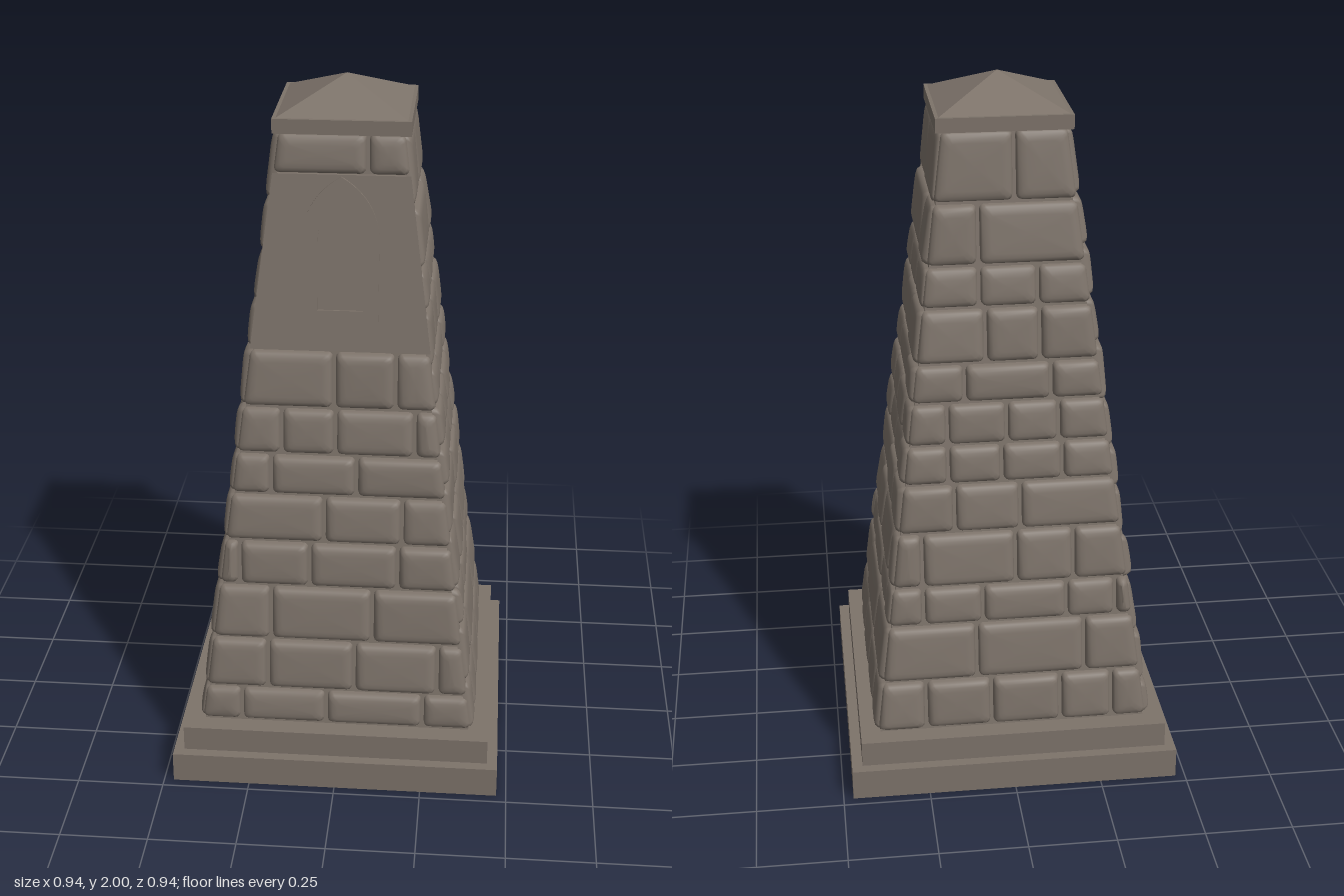
import * as THREE from 'three';
import { mergeGeometries } from 'three/addons/utils/BufferGeometryUtils.js';

const stoneGrey = new THREE.MeshStandardMaterial({ color: 0x7d736a });
stoneGrey.name = 'stone grey';

const BOTTOM = 0.165, TOP = 1.89;
// half width of the tapered shaft at height y
const half = (y) => 0.385 - 0.13 * (y - BOTTOM);

let seed = 7;
const rand = () => (seed = (seed * 16807) % 2147483647) / 2147483647;

function add(parent, name, geometry, y = 0) {
  const mesh = new THREE.Mesh(geometry, stoneGrey);
  mesh.name = name;
  mesh.position.y = y;
  parent.add(mesh);
  return mesh;
}

// square frustum with sharp edges, standing on y = 0
function frustum(bottom, top, height) {
  const g = new THREE.CylinderGeometry(top * Math.SQRT2, bottom * Math.SQRT2, height, 4, 1)
    .rotateY(Math.PI / 4).translate(0, height / 2, 0).toNonIndexed();
  g.computeVertexNormals();
  return g;
}

// one pillow-shaped stone on the +z face, built from shrinking rounded outlines
const PROFILE = [[0.004, -0.004], [0.006, 0.009], [0.011, 0.016], [0.021, 0.02], [0.034, 0.022]];
function stone(u0, u1, v0, v1, leftCorner, rightCorner) {
  const pos = [], index = [], n = 16;
  const lift = (rand() - 0.5) * 0.006, tilt = (rand() - 0.5) * 0.08;
  const place = (u, v, d) => {
    // stones at the tower's corners follow the taper
    const t = (u - u0) / (u1 - u0);
    const l = leftCorner ? -half(v) - 0.012 : u0;
    const r = rightCorner ? half(v) + 0.012 : u1;
    const z = d > 0.012 ? d + lift + tilt * (v - (v0 + v1) / 2) : d;
    pos.push(l + (r - l) * t, v, half(v) + z);
  };
  const hu = (u1 - u0) / 2, hv = (v1 - v0) / 2, cu = u0 + hu, cv = v0 + hv;
  for (const [inset, d] of PROFILE) {
    const a = Math.max(hu - inset, 0.004), b = Math.max(hv - inset, 0.004);
    const r = Math.min(0.014, a, b);
    for (let k = 0; k < n; k++) {
      const q = Math.floor(k / 4), ang = (q + (k % 4) / 3) * Math.PI / 2;
      const su = q === 0 || q === 3 ? 1 : -1, sv = q < 2 ? 1 : -1;
      place(cu + su * (a - r) + r * Math.cos(ang), cv + sv * (b - r) + r * Math.sin(ang), d);
    }
  }
  place(cu, cv, 0.023);
  const rings = PROFILE.length, centre = rings * n;
  for (let i = 0; i < rings; i++) {
    for (let k = 0; k < n; k++) {
      const a = i * n + k, b = i * n + (k + 1) % n;
      if (i === rings - 1) index.push(a, b, centre);
      else index.push(a, b, b + n, a, b + n, a + n);
    }
  }
  const g = new THREE.BufferGeometry();
  g.setAttribute('position', new THREE.Float32BufferAttribute(pos, 3));
  g.setIndex(index);
  g.computeVertexNormals();
  return g;
}

// all courses of one face; each course is [bottom, top, joints]
function masonry(courses) {
  const stones = [];
  for (const [v0, v1, joints] of courses) {
    const h = half((v0 + v1) / 2) + 0.012;
    const edges = [-h, ...joints, h];
    for (let i = 0; i < edges.length - 1; i++) {
      stones.push(stone(edges[i], edges[i + 1], v0, v1, i === 0, i === edges.length - 2));
    }
  }
  return mergeGeometries(stones);
}

// flat plate leaning with the front face
function leaningPlate(shape, from, to) {
  const g = new THREE.ExtrudeGeometry(shape, { depth: to - from, bevelEnabled: false, curveSegments: 10 });
  const p = g.attributes.position;
  for (let i = 0; i < p.count; i++) p.setZ(i, p.getZ(i) + from + half(p.getY(i)));
  g.computeVertexNormals();
  return g;
}

function pointedArch(path, w, y0, spring, apex) {
  path.moveTo(-w, y0);
  path.lineTo(w, y0);
  path.lineTo(w, spring);
  path.quadraticCurveTo(w * 0.92, spring + (apex - spring) * 0.65, 0, apex);
  path.quadraticCurveTo(-w * 0.92, spring + (apex - spring) * 0.65, -w, spring);
  path.closePath();
  return path;
}

function square(path, s) {
  path.moveTo(-s, -s);
  path.lineTo(s, -s);
  path.lineTo(s, s);
  path.lineTo(-s, s);
  path.closePath();
  return path;
}

const LOWER = [
  [0.17, 0.275, [-0.276, -0.03, 0.25]], [0.275, 0.43, [-0.2, 0.05, 0.29]],
  [0.43, 0.595, [-0.19, 0.1]], [0.595, 0.73, [-0.28, -0.08, 0.17]],
  [0.73, 0.87, [-0.04, 0.18]], [0.87, 0.99, [-0.19, 0.05]],
  [0.99, 1.125, [-0.16, -0.01, 0.21]], [1.125, 1.29, [-0.015, 0.155]],
];
const FRONT = [...LOWER, [1.77, 1.885, [0.07]]];
const LEFT = [...LOWER, [1.29, 1.42, [-0.09, 0.07]], [1.42, 1.56, [0.03]],
  [1.56, 1.7, [-0.07, 0.1]], [1.7, 1.885, [0.02]]];
const RIGHT = [
  [0.17, 0.32, [-0.29, -0.14, 0.06, 0.25]], [0.32, 0.49, [-0.21, 0.1]],
  [0.49, 0.605, [-0.3, -0.16, 0.08, 0.25]], [0.605, 0.765, [-0.18, -0.015, 0.25]],
  [0.765, 0.907, [-0.03, 0.155]], [0.907, 1.02, [-0.15, 0.02, 0.17]],
  [1.02, 1.14, [-0.14, 0.005, 0.17]], [1.14, 1.25, [-0.12, 0.12]],
  [1.25, 1.405, [-0.09, 0.06]], [1.405, 1.52, [-0.085, 0.075]],
  [1.52, 1.69, [0.075]], [1.69, 1.885, [-0.025]],
];
const BACK = RIGHT.map(([a, b, joints]) => [a, b, joints.map((u) => -u).reverse()]);

export function createModel() {
  const group = new THREE.Group();
  group.name = 'stoneTower';

  // plinth, hollow underneath
  const rim = square(new THREE.Shape(), 0.472);
  rim.holes.push(square(new THREE.Path(), 0.468));
  add(group, 'plinthWalls', new THREE.ExtrudeGeometry(rim, { depth: 0.09, bevelEnabled: false }).rotateX(-Math.PI / 2));
  add(group, 'plinthSlab', new THREE.BoxGeometry(0.944, 0.01, 0.944), 0.085);
  add(group, 'plinthStep', new THREE.BoxGeometry(0.884, 0.075, 0.884), 0.1275);

  // shaft and its stone courses, face by face
  add(group, 'shaftCore', frustum(half(BOTTOM), half(TOP), TOP - BOTTOM), BOTTOM);
  const faces = { frontStones: FRONT, rightStones: RIGHT, backStones: BACK, leftStones: LEFT };
  Object.entries(faces).forEach(([name, courses], i) => {
    add(group, name, masonry(courses)).rotation.y = i * Math.PI / 2;
  });

  // smooth front panel with a pointed blind window
  const panel = new THREE.Shape();
  const p0 = 1.29, p1 = 1.772, over = 0.009;
  panel.moveTo(-half(p0) - over, p0);
  panel.lineTo(half(p0) + over, p0);
  panel.lineTo(half(p1) + over, p1);
  panel.lineTo(-half(p1) - over, p1);
  panel.closePath();
  add(group, 'frontPanel', leaningPlate(panel, -0.002, 0.009));
  const frame = pointedArch(new THREE.Shape(), 0.104, 1.37, 1.61, 1.768);
  frame.holes.push(pointedArch(new THREE.Path(), 0.062, 1.405, 1.6, 1.725));
  add(group, 'windowFrame', leaningPlate(frame, 0.007, 0.014));

  // cap
  add(group, 'capSlab', new THREE.BoxGeometry(0.37, 0.04, 0.37), 1.9);
  add(group, 'capPyramid', frustum(0.175, 0, 0.08), 1.92);

  return group;
}
